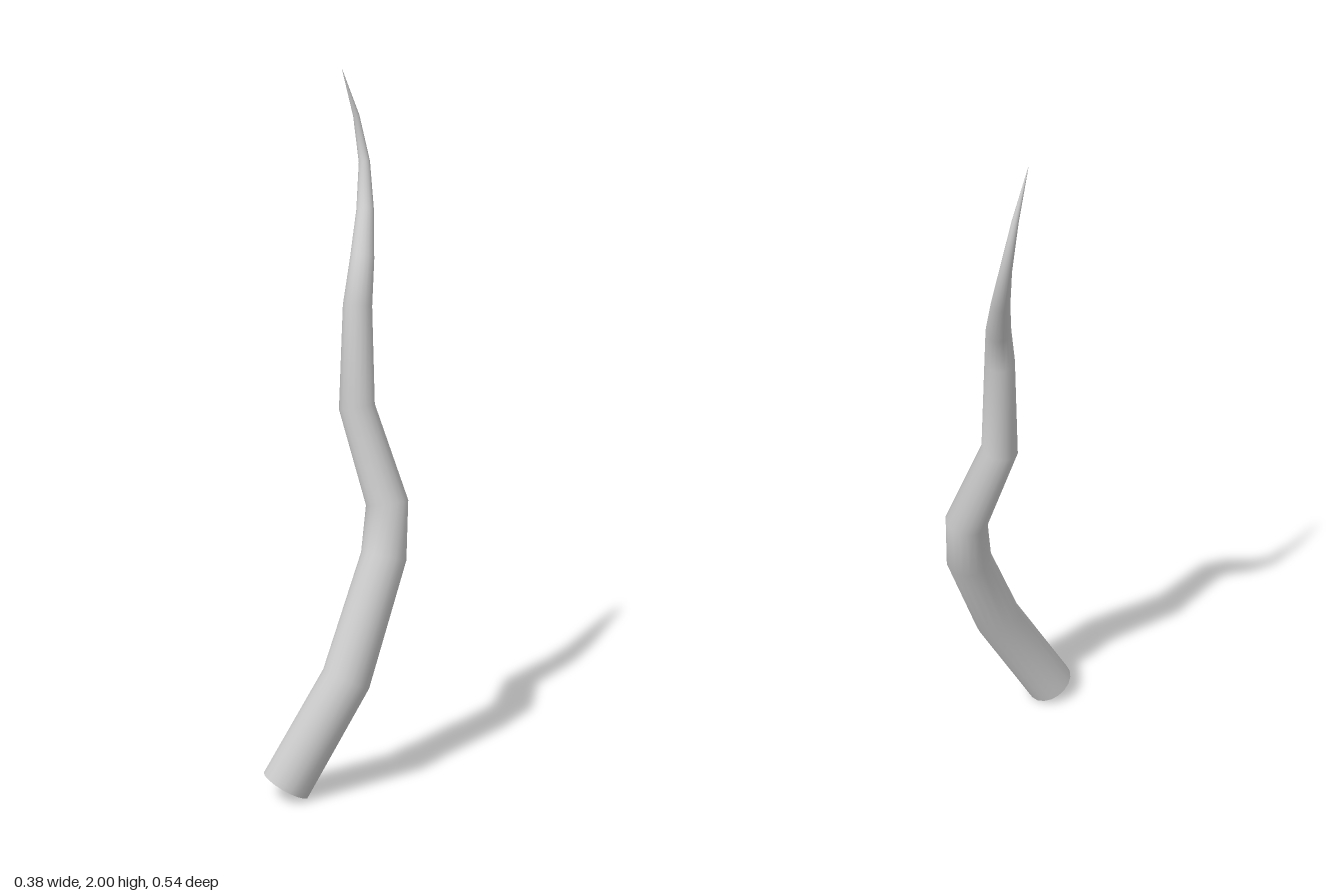
import * as THREE from 'three';
import { mergeVertices } from 'three/addons/utils/BufferGeometryUtils.js';

// Centre line and thickness, from base to tip: x, y, z, radius
const STATIONS = [
  [0.034, 0.037, 0.205, 0.072],
  [0.118, 0.34, 0.055, 0.07],
  [0.09, 0.66, -0.107, 0.065],
  [0.077, 0.81, -0.13, 0.06],
  [-0.02, 1.075, -0.1, 0.051],
  [-0.03, 1.36, -0.11, 0.041],
  [-0.063, 1.485, -0.155, 0.034],
  [-0.117, 1.61, -0.212, 0.025],
  [-0.165, 1.74, -0.25, 0.016],
  [-0.18, 1.87, -0.232, 0.009],
  [-0.18, 2.0, -0.18, 0.0005],
];

// Bends an open unit cylinder along the stations, one ring per station
function bentTaper(stations, sides) {
  const last = stations.length - 1;
  const geometry = new THREE.CylinderGeometry(1, 1, 1, sides, last, true);
  const centres = stations.map(([x, y, z]) => new THREE.Vector3(x, y, z));
  const up = new THREE.Vector3(0, 1, 0);

  // Each ring faces halfway between its two neighbouring segments
  const turns = centres.map((c, i) => {
    const direction = new THREE.Vector3();
    if (i > 0) direction.add(c.clone().sub(centres[i - 1]).normalize());
    if (i < last) direction.add(centres[i + 1].clone().sub(c).normalize());
    return new THREE.Quaternion().setFromUnitVectors(up, direction.normalize());
  });

  const position = geometry.attributes.position;
  const p = new THREE.Vector3();
  for (let v = 0; v < position.count; v++) {
    p.fromBufferAttribute(position, v);
    const i = Math.round((p.y + 0.5) * last);
    p.setY(0).multiplyScalar(stations[i][3]).applyQuaternion(turns[i]).add(centres[i]);
    position.setXYZ(v, p.x, p.y, p.z);
  }

  // Weld the seam so the shading is smooth all round
  geometry.deleteAttribute('uv');
  geometry.deleteAttribute('normal');
  const welded = mergeVertices(geometry, 1e-5);
  welded.computeVertexNormals();
  return welded;
}

export function createModel() {
  const group = new THREE.Group();
  group.name = 'tendril';
  // Open at the base, so the inside wall shows too
  const material = new THREE.MeshStandardMaterial({ color: 0xcccccc, side: THREE.DoubleSide });
  const stem = new THREE.Mesh(bentTaper(STATIONS, 18), material);
  stem.name = 'taperedStem';
  group.add(stem);
  return group;
}
